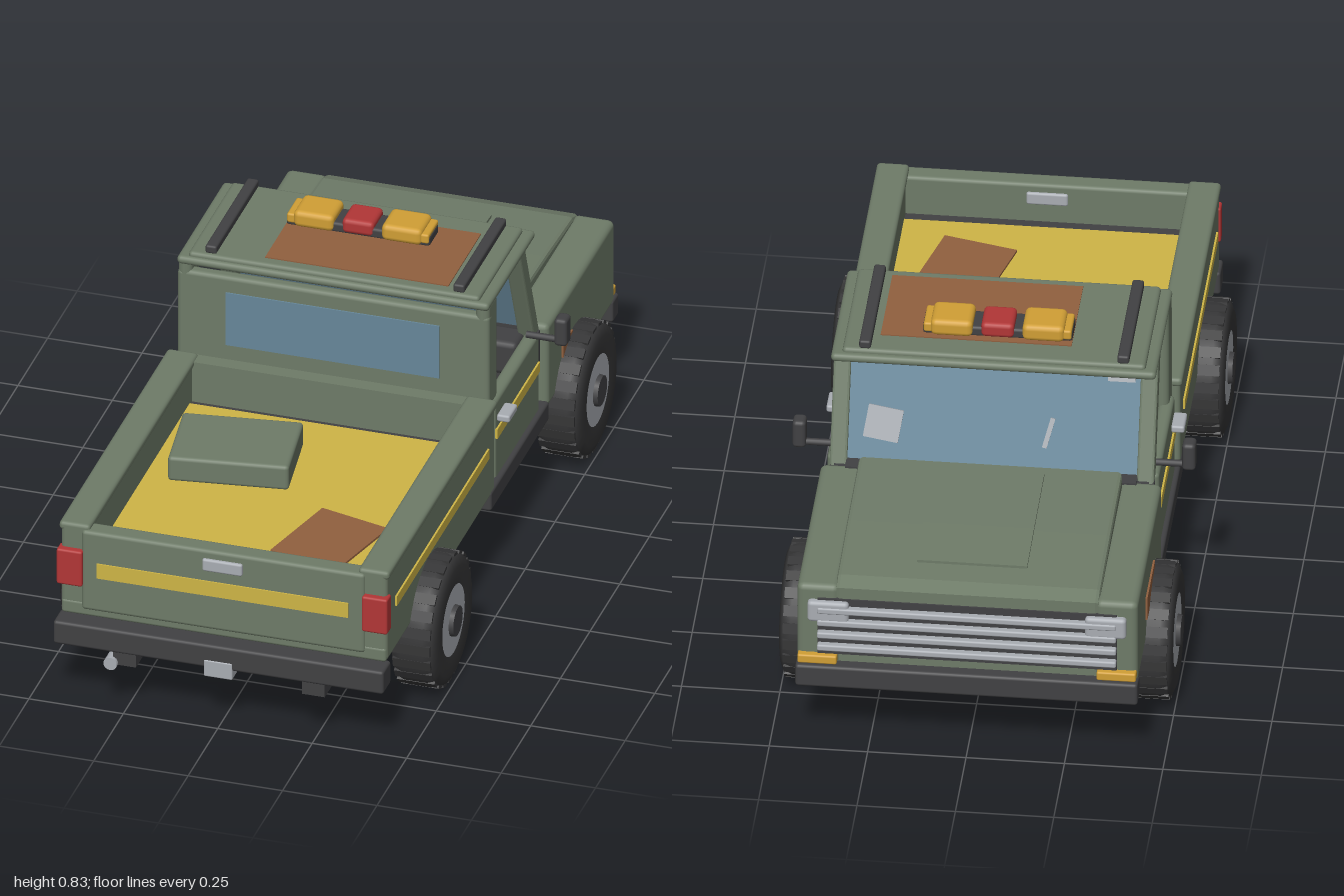
import * as THREE from 'three';
import { RoundedBoxGeometry } from 'three/addons/geometries/RoundedBoxGeometry.js';

const mat = (name, color) => {
  const m = new THREE.MeshStandardMaterial({ color });
  m.name = name;
  return m;
};

export function createModel() {
  const truck = new THREE.Group();
  truck.name = 'pickupTruck';
  const green = mat('bodyGreen', 0x6e7b68), yellow = mat('stripeYellow', 0xcfb546),
    amber = mat('amberLamp', 0xd19f35), red = mat('redLamp', 0xb23636),
    rust = mat('rust', 0x91603f), glass = mat('glassBlue', 0x67879a),
    dark = mat('darkTrim', 0x414143), rubber = mat('tyreRubber', 0x363637),
    silver = mat('silver', 0xa9adb3);

  const add = (name, geo, m, x = 0, y = 0, z = 0, parent = truck) => {
    const mesh = new THREE.Mesh(geo, m);
    mesh.name = name;
    mesh.position.set(x, y, z);
    parent.add(mesh);
    return mesh;
  };
  // Box given by its limits; r rounds the edges
  const box = (name, m, [x0, x1], [y0, y1], [z0, z1], r = 0) => {
    const s = [x1 - x0, y1 - y0, z1 - z0];
    const g = r ? new RoundedBoxGeometry(...s, 2, r) : new THREE.BoxGeometry(...s);
    return add(name, g, m, (x0 + x1) / 2, (y0 + y1) / 2, (z0 + z1) / 2);
  };
  // The same box on both sides
  const pair = (name, m, [x0, x1], ys, zs, r = 0) => {
    box(name + 'Left', m, [x0, x1], ys, zs, r);
    box(name + 'Right', m, [-x1, -x0], ys, zs, r);
  };
  // Cylinder between two points
  const rod = (name, m, a, b, r, sides = 14) => {
    const p = new THREE.Vector3(...a), q = new THREE.Vector3(...b), d = q.clone().sub(p);
    const mesh = add(name, new THREE.CylinderGeometry(r, r, d.length(), sides), m);
    mesh.position.copy(p).add(q).multiplyScalar(0.5);
    mesh.quaternion.setFromUnitVectors(new THREE.Vector3(0, 1, 0), d.normalize());
    return mesh;
  };
  // Side profile of [z, y] points extruded across x
  const profile = (name, m, pts, x0, x1, bevel = 0) => {
    const shape = new THREE.Shape(pts.map(([z, y]) => new THREE.Vector2(-z, y)));
    const g = new THREE.ExtrudeGeometry(shape, {
      depth: x1 - x0 - 2 * bevel, bevelEnabled: bevel > 0, bevelThickness: bevel,
      bevelSize: bevel, bevelOffset: -bevel, bevelSegments: 2,
    });
    g.rotateY(Math.PI / 2);
    return add(name, g, m, x0 + bevel);
  };

  // Cargo bed
  pair('bedSide', green, [0.36, 0.432], [0.24, 0.5], [0.035, 0.95], 0.012);
  pair('bedRim', green, [0.355, 0.437], [0.478, 0.502], [0.03, 0.95], 0.01);
  box('bedFrontWall', green, [-0.4, 0.4], [0.24, 0.495], [0.03, 0.07]);
  box('tailgate', green, [-0.375, 0.375], [0.26, 0.49], [0.905, 0.958], 0.01);
  box('tailSill', green, [-0.43, 0.43], [0.24, 0.28], [0.89, 0.952], 0.008);
  box('bedBase', dark, [-0.37, 0.37], [0.23, 0.38], [0.05, 0.91]);
  box('bedFloor', yellow, [-0.362, 0.362], [0.379, 0.386], [0.09, 0.87]);
  const crate = add('bedCrate', new RoundedBoxGeometry(0.31, 0.07, 0.235, 2, 0.01), green, -0.16, 0.418, 0.34);
  crate.rotation.y = 0.14;
  const patch = add('bedRustPatch', new THREE.BoxGeometry(0.195, 0.006, 0.25), rust, 0.185, 0.39, 0.65);
  patch.rotation.y = -0.25;
  box('tailgateHandle', silver, [-0.053, 0.053], [0.432, 0.467], [0.898, 0.966], 0.006);
  box('tailgateStripe', yellow, [-0.333, 0.333], [0.36, 0.402], [0.956, 0.962]);
  pair('tailLight', red, [0.37, 0.438], [0.33, 0.432], [0.93, 0.968], 0.006);
  pair('bedStripe', yellow, [0.43, 0.437], [0.368, 0.396], [0.1, 0.88]);

  // Cab lower body
  pair('door', green, [0.385, 0.422], [0.24, 0.475], [-0.37, 0.005], 0.012);
  pair('doorStripe', yellow, [0.42, 0.427], [0.368, 0.396], [-0.358, 0]);
  pair('doorHandle', silver, [0.42, 0.455], [0.412, 0.432], [-0.08, -0.01], 0.006);
  box('cabFloor', dark, [-0.4, 0.4], [0.21, 0.26], [-0.42, 0.03]);
  box('firewall', dark, [-0.4, 0.4], [0.22, 0.47], [-0.42, -0.365]);
  box('dashboard', dark, [-0.385, 0.385], [0.38, 0.475], [-0.38, -0.29], 0.015);
  box('seatBase', dark, [-0.35, 0.35], [0.25, 0.38], [-0.22, -0.03], 0.03);
  const seatBack = box('seatBack', dark, [-0.35, 0.35], [0.34, 0.55], [-0.09, -0.04], 0.02);
  seatBack.rotation.x = 0.15;
  const wheelRing = add('steeringWheel', new THREE.TorusGeometry(0.055, 0.008, 8, 20), dark, -0.2, 0.51, -0.24);
  wheelRing.rotation.x = -0.6;
  rod('steeringColumn', dark, [-0.2, 0.51, -0.24], [-0.2, 0.44, -0.33], 0.01);

  // Cab upper body
  box('cabRearWall', green, [-0.413, 0.413], [0.24, 0.735], [-0.005, 0.03], 0.012);
  box('rearWindow', glass, [-0.283, 0.283], [0.538, 0.69], [0.028, 0.034]);
  pair('rearPillar', green, [0.375, 0.412], [0.45, 0.77], [-0.05, 0.03], 0.016);
  for (const s of [-1, 1]) {
    profile('frontPillar', green, [[-0.4, 0.465], [-0.355, 0.465], [-0.235, 0.77], [-0.282, 0.77]],
      s * 0.39 - 0.022, s * 0.39 + 0.022, 0.006);
  }
  profile('windscreen', glass, [[-0.388, 0.47], [-0.38, 0.47], [-0.266, 0.765], [-0.274, 0.765]], -0.37, 0.37);
  box('roof', green, [-0.413, 0.413], [0.752, 0.775], [-0.365, 0.035], 0.011);
  box('roofTop', green, [-0.385, 0.385], [0.765, 0.787], [-0.35, 0.025], 0.01);
  box('roofRustPatch', rust, [-0.19, 0.295], [0.785, 0.79], [-0.28, -0.005]);
  pair('roofRail', dark, [0.313, 0.343], [0.785, 0.808], [-0.345, 0.015], 0.006);

  // Plates and wiper lying on the sloping windscreen
  const onScreen = (name, x, y, w, h, tilt = 0) => {
    const holder = new THREE.Group();
    holder.name = name + 'Mount';
    holder.position.set(x, y, -0.392 + (y - 0.47) * 0.386);
    holder.rotation.x = 0.368;
    truck.add(holder);
    add(name, new THREE.BoxGeometry(w, h, 0.006), silver, 0, 0, 0, holder).rotation.z = tilt;
  };
  onScreen('screenSticker', 0.28, 0.57, 0.09, 0.085, 0.15);
  onScreen('visorLeft', 0.24, 0.735, 0.15, 0.03);
  onScreen('visorRight', -0.32, 0.725, 0.07, 0.045);
  onScreen('wiper', -0.14, 0.57, 0.012, 0.08, 0.25);

  // Roof light bar
  box('lightBarBase', dark, [-0.19, 0.19], [0.786, 0.815], [-0.26, -0.18], 0.008);
  pair('amberBeacon', amber, [0.063, 0.17], [0.788, 0.834], [-0.272, -0.172], 0.014);
  pair('amberEnd', amber, [0.165, 0.188], [0.795, 0.822], [-0.265, -0.178], 0.006);
  box('redBeacon', red, [-0.042, 0.042], [0.79, 0.831], [-0.268, -0.176], 0.012);

  // Door mirrors
  for (const s of [-1, 1]) {
    rod('mirrorArm', dark, [s * 0.4, 0.487, -0.33], [s * 0.49, 0.487, -0.33], 0.009);
    add('mirror', new RoundedBoxGeometry(0.034, 0.078, 0.045, 2, 0.01), dark, s * 0.495, 0.517, -0.33);
  }

  // Engine bay, fenders and bonnet
  box('noseBody', green, [-0.41, 0.41], [0.235, 0.465], [-0.965, -0.415], 0.012);
  pair('fender', green, [0.325, 0.433], [0.235, 0.475], [-0.972, -0.405], 0.016);
  profile('bonnet', green, [[-0.42, 0.45], [-0.42, 0.508], [-0.7, 0.499], [-0.93, 0.486], [-0.972, 0.472], [-0.972, 0.44]], -0.335, 0.335, 0.01);
  profile('bonnetPanel', green, [[-0.45, 0.49], [-0.45, 0.514], [-0.7, 0.506], [-0.86, 0.497], [-0.86, 0.48]], -0.14, 0.14);
  box('cowl', dark, [-0.37, 0.37], [0.42, 0.48], [-0.425, -0.375]);
  pair('cowlSide', dark, [0.37, 0.412], [0.35, 0.46], [-0.41, -0.36]);
  box('fenderRustRight', rust, [-0.438, -0.431], [0.31, 0.375], [-0.79, -0.61]);
  box('fenderRustLeft', rust, [0.431, 0.438], [0.29, 0.358], [-0.6, -0.52]);

  // Grille, lamps and bumpers
  box('grilleBack', dark, [-0.38, 0.38], [0.275, 0.44], [-0.976, -0.95]);
  for (const y of [0.3, 0.337, 0.374, 0.411]) {
    box('grilleBar', silver, [-0.38, 0.38], [y - 0.009, y + 0.009], [-0.993, -0.965], 0.005);
  }
  pair('headlight', silver, [0.3, 0.405], [0.375, 0.435], [-0.99, -0.95], 0.01);
  pair('frontIndicator', amber, [0.33, 0.43], [0.25, 0.275], [-0.99, -0.95], 0.005);
  box('frontBumper', dark, [-0.435, 0.435], [0.185, 0.248], [-0.998, -0.945], 0.008);
  box('rearBumper', dark, [-0.437, 0.437], [0.172, 0.238], [0.93, 0.998], 0.008);
  box('towHitch', silver, [-0.038, 0.038], [0.147, 0.195], [0.93, 1.0], 0.004);
  rod('exhaust', silver, [-0.285, 0.14, 0.2], [-0.285, 0.14, 1.0], 0.018);

  // Chassis
  pair('runningBoard', dark, [0.35, 0.435], [0.2, 0.255], [-0.41, 0.08], 0.008);
  box('underTray', dark, [-0.4, 0.4], [0.215, 0.24], [-0.95, 0.94]);
  pair('chassisRail', dark, [0.22, 0.28], [0.135, 0.195], [-0.9, 0.99]);
  for (const z of [-0.84, -0.42, -0.1, 0.2, 0.45, 0.85]) {
    box('crossMember', dark, [-0.25, 0.25], [0.145, 0.19], [z - 0.025, z + 0.025]);
  }
  box('gearbox', dark, [-0.08, 0.08], [0.14, 0.22], [-0.5, -0.28], 0.02);
  rod('driveShaft', dark, [0, 0.18, -0.62], [0, 0.18, 0.59], 0.02);

  // Axles and wheels, tyre turned from its cross-section
  const tyreProfile = [[0.095, -0.058], [0.145, -0.062], [0.168, -0.052], [0.177, -0.03],
    [0.177, 0.03], [0.168, 0.052], [0.145, 0.062], [0.095, 0.058]].map(p => new THREE.Vector2(...p));
  const tyreGeo = new THREE.LatheGeometry(tyreProfile, 32);
  for (const z of [-0.625, 0.592]) {
    rod('axle', dark, [-0.42, 0.178, z], [0.42, 0.178, z], 0.027);
    add('differential', new THREE.SphereGeometry(0.056, 16, 12), dark, 0, 0.18, z);
    for (const s of [-1, 1]) {
      const wheel = new THREE.Group();
      wheel.name = 'wheel';
      wheel.position.set(s * 0.438, 0.178, z);
      wheel.rotation.z = -s * Math.PI / 2;
      truck.add(wheel);
      add('tyre', tyreGeo, rubber, 0, 0, 0, wheel);
      add('rim', new THREE.CylinderGeometry(0.1, 0.1, 0.116, 28), silver, 0, 0, 0, wheel);
      add('hub', new THREE.CylinderGeometry(0.04, 0.045, 0.03, 16), dark, 0, 0.055, 0, wheel);
      // Tread blocks
      for (let i = 0; i < 24; i++) {
        const a = i / 24 * Math.PI * 2;
        const lug = add('treadBlock', new THREE.BoxGeometry(0.008, 0.1, 0.028), rubber,
          Math.cos(a) * 0.173, 0, Math.sin(a) * 0.173, wheel);
        lug.rotation.y = -a;
      }
    }
  }
  return truck;
}
